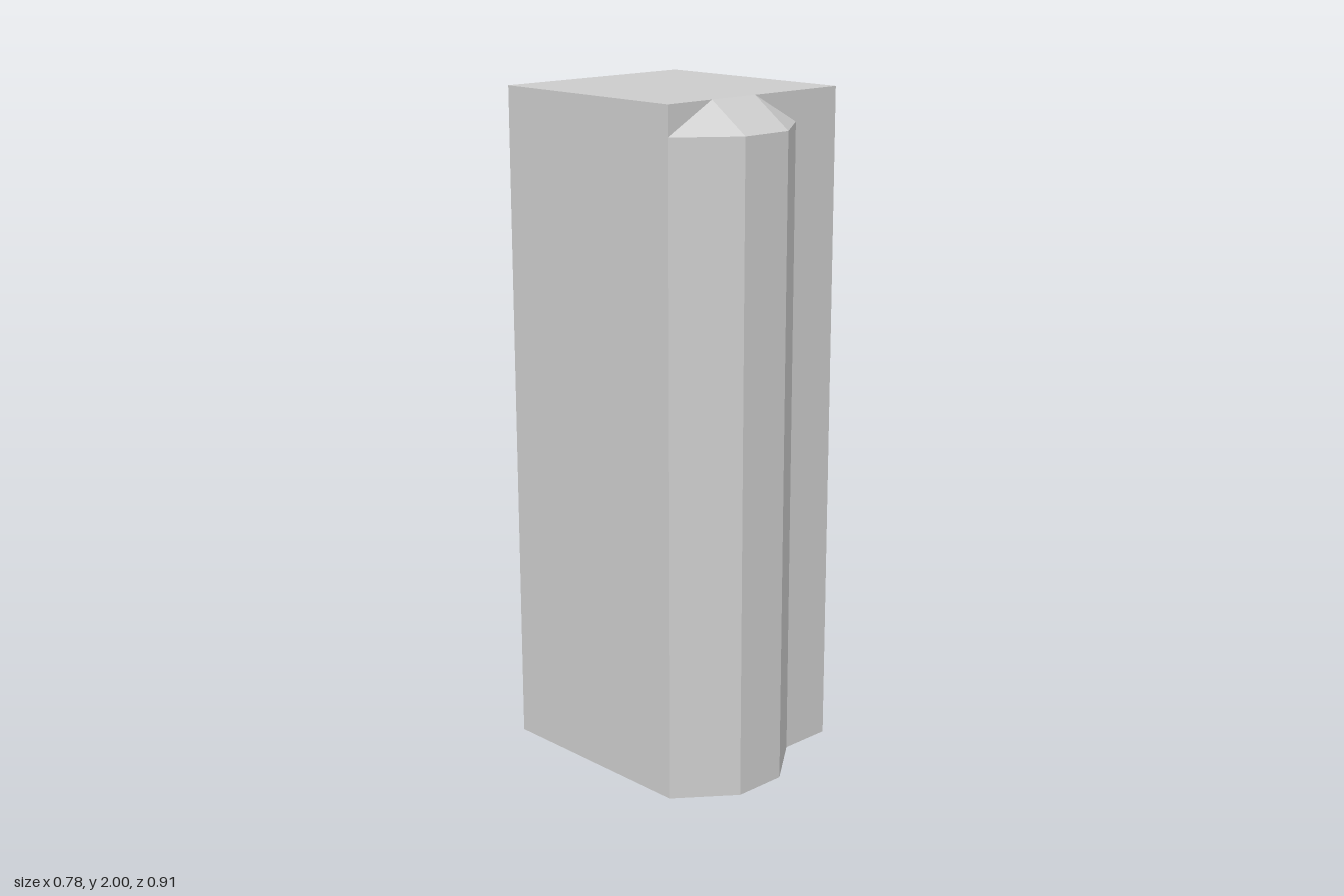
import * as THREE from 'three';
import { ConvexGeometry } from 'three/addons/geometries/ConvexGeometry.js';

const material = new THREE.MeshStandardMaterial({ color: 0xcccccc, flatShading: true });

function addMesh(group, name, geometry) {
  const mesh = new THREE.Mesh(geometry, material);
  mesh.name = name;
  group.add(mesh);
}

// Box given by its minimum and maximum corners
function block(x0, x1, y0, y1, z0, z1) {
  return new THREE.BoxGeometry(x1 - x0, y1 - y0, z1 - z0)
    .translate((x0 + x1) / 2, (y0 + y1) / 2, (z0 + z1) / 2);
}

// Canted bay with a hipped roof; side is +1 for the front, -1 for the back
function bay(side) {
  const wall = 0.331 * side, face = 0.457 * side;
  const plan = [[-0.393, wall], [-0.229, face], [-0.063, face], [0.102, wall]];
  const points = [];
  for (const y of [0, 1.913]) {
    for (const [x, z] of plan) points.push(new THREE.Vector3(x, y, z));
  }
  // Roof ridge against the wall
  for (const x of [-0.229, -0.063]) points.push(new THREE.Vector3(x, 2, wall));
  return new ConvexGeometry(points);
}

export function createModel() {
  const group = new THREE.Group();
  group.name = 'townhouse';

  addMesh(group, 'mainBlock', block(-0.393, 0.267, 0, 2, -0.331, 0.331));
  addMesh(group, 'frontBay', bay(1));
  addMesh(group, 'backBay', bay(-1));

  // Low annex on the side wall
  addMesh(group, 'sideAnnex', block(0.267, 0.392, 0, 0.502, -0.166, 0.166));

  return group;
}
